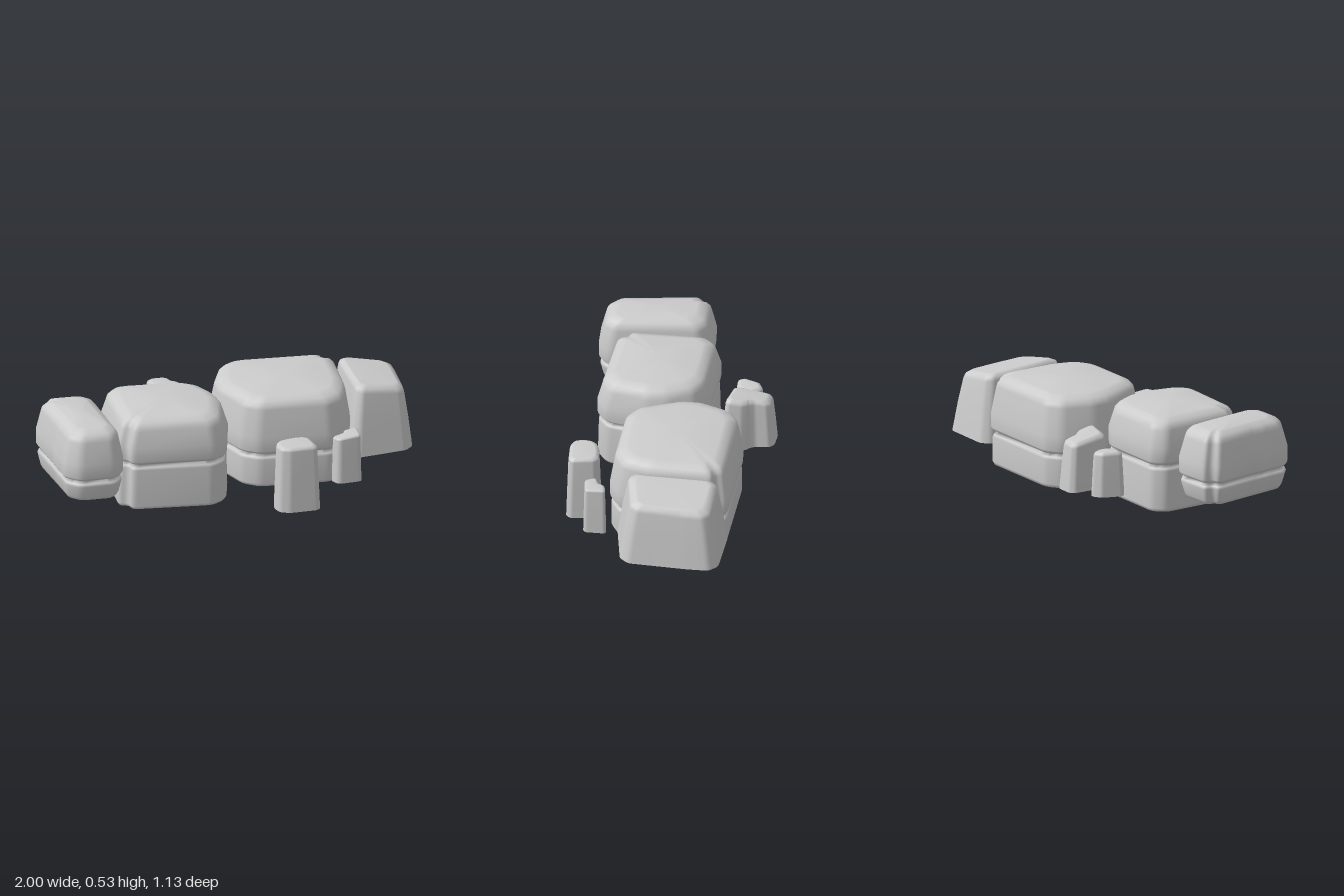
import * as THREE from 'three';

const material = new THREE.MeshStandardMaterial({ color: 0xcccccc, side: THREE.DoubleSide });

// Two points next to corner i, at most `reach` along each adjoining edge
function besideCorner(points, i, reach) {
  const n = points.length;
  const corner = points[i];
  return [points[(i + n - 1) % n], points[(i + 1) % n]].map((p) => {
    const d = corner.distanceTo(p);
    return corner.clone().lerp(p, Math.min(reach, d * 0.4) / d);
  });
}

// Chamfer every corner, optionally crease one of them inwards, then soften the result
function chippedOutline(corners, cut, softness, notch) {
  const points = corners.map(([x, z]) => new THREE.Vector2(x, z));
  const chipped = points.flatMap((corner, i) => {
    const [start, end] = besideCorner(points, i, cut);
    if (i !== notch) return [start, end];
    const inward = start.clone().lerp(end, 0.5);
    inward.add(inward.clone().sub(corner).setLength(0.025));
    return [start, inward, end];
  });
  return chipped.flatMap((corner, i) => {
    const [start, end] = besideCorner(chipped, i, softness);
    return new THREE.QuadraticBezierCurve(start, corner, end).getPoints(4);
  });
}

// Stack inset copies of an outline: levels are [y, inset], lift(x, z) tilts the top.
// The underside stays open.
function makeRock({ name, corners, levels, cut, softness, dome, notch = -1, lift = () => 0 }) {
  const outline = chippedOutline(corners, cut, softness, notch);
  const box = new THREE.Box2().setFromPoints(outline);
  const c = box.getCenter(new THREE.Vector2());
  const half = box.getSize(new THREE.Vector2()).multiplyScalar(0.5);
  const n = outline.length;
  const bottom = levels[0][0];
  const [top, topInset] = levels[levels.length - 1];
  const positions = [];
  const index = [];

  const addRing = (y, sx, sz) => {
    const t = (y - bottom) / (top - bottom);
    for (const p of outline) {
      const x = c.x + (p.x - c.x) * sx;
      const z = c.y + (p.y - c.y) * sz;
      positions.push(x, y + t * lift(x, z), z);
    }
  };
  for (const [y, inset] of levels) addRing(y, 1 - inset / half.x, 1 - inset / half.y);
  // Slightly domed top
  for (const [s, h] of [[0.93, 0.12], [0.5, 0.75]]) {
    addRing(top + dome * h, s * (1 - topInset / half.x), s * (1 - topInset / half.y));
  }

  const rows = levels.length + 2;
  for (let j = 0; j < rows - 1; j++) {
    for (let i = 0; i < n; i++) {
      const a = j * n + i;
      const b = j * n + (i + 1) % n;
      index.push(a, a + n, b, b, a + n, b + n);
    }
  }
  positions.push(c.x, top + dome + lift(c.x, c.y), c.y);
  for (let i = 0; i < n; i++) {
    index.push((rows - 1) * n + i, rows * n, (rows - 1) * n + (i + 1) % n);
  }

  const geometry = new THREE.BufferGeometry();
  geometry.setAttribute('position', new THREE.Float32BufferAttribute(positions, 3));
  geometry.setIndex(index);
  geometry.computeVertexNormals();
  const mesh = new THREE.Mesh(geometry, material);
  mesh.name = name;
  return mesh;
}

// Boulder: upright base, a groove, then a tapering cap with a rounded shoulder
function makeBoulder({ bottom, groove, baseInset, ...shape }) {
  const top = 0.512;
  const levels = [
    [bottom, baseInset + 0.03], [bottom + 0.008, baseInset + 0.01], [bottom + 0.025, baseInset],
    [groove - 0.025, 0.008], [groove - 0.012, 0.014], [groove, 0.032],
    [groove + 0.012, 0.01], [groove + 0.025, 0.001], [groove + 0.1, 0],
    [top - 0.055, 0.026], [top - 0.035, 0.032], [top - 0.015, 0.05], [top, 0.085],
  ];
  return makeRock({ levels, cut: 0.06, softness: 0.03, ...shape });
}

// Stone: straight taper with a narrow bevel around the top
function makeStone({ bottom, top, lean, bevel, ...shape }) {
  const levels = [
    [bottom, 0], [(bottom + top) / 2, lean / 2], [top - bevel, lean],
    [top - bevel * 0.4, lean + bevel * 0.25], [top, lean + bevel],
  ];
  return makeRock({ levels, softness: 0.012, dome: 0.003, ...shape });
}

export function createModel() {
  const group = new THREE.Group();
  group.name = 'rockFormation';

  // Row of large boulders
  group.add(makeBoulder({
    name: 'rightEndBoulder', bottom: 0.135, groove: 0.25, baseInset: 0.025, dome: 0.012, notch: 2,
    corners: [[-1.01, 0.21], [-0.985, 0.04], [-0.93, -0.37], [-0.61, -0.295], [-0.71, 0.28]],
  }));
  group.add(makeBoulder({
    name: 'rightMiddleBoulder', bottom: 0.03, groove: 0.275, baseInset: 0.003, dome: 0.02, notch: 4,
    corners: [[-0.56, -0.35], [-0.085, -0.2], [-0.03, 0.07], [-0.19, 0.365], [-0.705, 0.185]],
  }));
  group.add(makeBoulder({
    name: 'leftMiddleBoulder', bottom: 0.035, groove: 0.215, baseInset: 0.008, dome: 0.02, notch: 1,
    corners: [[0.12, -0.37], [0.71, -0.185], [0.58, 0.26], [0.46, 0.385], [-0.01, 0.24], [-0.055, -0.13]],
  }));
  group.add(makeStone({
    name: 'leftEndBoulder', bottom: 0.14, top: 0.48, lean: 0.05, bevel: 0.035, cut: 0.04, softness: 0.02,
    corners: [[0.68, -0.21], [1.01, -0.1], [0.985, 0.02], [0.87, 0.375], [0.53, 0.345]],
    lift: (x) => (0.75 - x) * 0.16,
  }));

  // Two small stones in front
  group.add(makeStone({
    name: 'frontPillar', bottom: 0.005, top: 0.352, lean: 0.012, bevel: 0.018, cut: 0.025,
    corners: [[0.03, 0.47], [0.07, 0.375], [0.165, 0.37], [0.265, 0.395], [0.25, 0.57], [0.06, 0.53]],
  }));
  group.add(makeStone({
    name: 'frontStone', bottom: 0.09, top: 0.338, lean: 0.006, bevel: 0.01, cut: 0.012,
    corners: [[0.365, 0.43], [0.445, 0.425], [0.455, 0.392], [0.535, 0.4], [0.505, 0.515], [0.38, 0.495]],
    lift: (x) => (x - 0.45) * 0.1,
  }));

  // Two small stones behind
  group.add(makeStone({
    name: 'backLargeStone', bottom: 0.13, top: 0.4, lean: 0.022, bevel: 0.025, cut: 0.025,
    corners: [[-0.19, -0.58], [-0.055, -0.535], [-0.08, -0.42], [-0.04, -0.385], [-0.065, -0.26], [-0.265, -0.35]],
    lift: (x, z) => (z + 0.42) * 0.17,
  }));
  group.add(makeStone({
    name: 'backSmallStone', bottom: 0.12, top: 0.35, lean: 0.01, bevel: 0.018, cut: 0.035,
    corners: [[-0.31, -0.54], [-0.23, -0.49], [-0.275, -0.36], [-0.415, -0.395]],
  }));
  return group;
}
